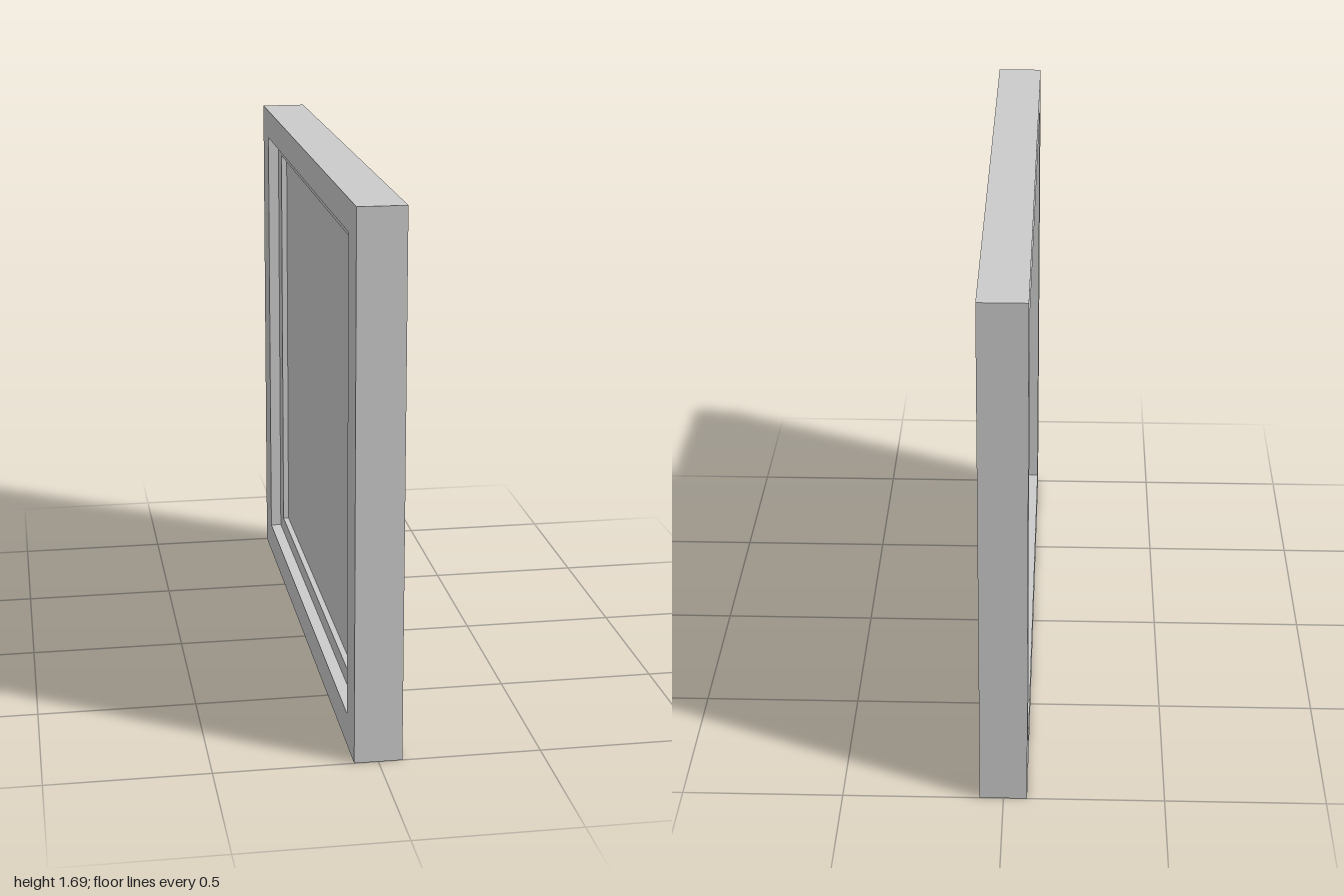
import * as THREE from 'three';

const material = new THREE.MeshStandardMaterial({ color: 0xcccccc, flatShading: true });

// Rectangles are [zMin, zMax, yMin, yMax]
const OUTER = [-1, 1, 0, 1.69];
const OPENING = [-0.867, 0.867, 0.102, 1.592];
const GLAZING = [-0.788, 0.802, 0.155, 1.538];

function trace(path, [z0, z1, y0, y1]) {
  // shape x runs along -z once the extrusion is turned to face +x
  path.moveTo(-z1, y0);
  path.lineTo(-z0, y0);
  path.lineTo(-z0, y1);
  path.lineTo(-z1, y1);
  path.closePath();
  return path;
}

// Flat slab in the YZ plane from xMin to xMax, with an optional rectangular hole
function slab(name, rect, xMin, xMax, hole) {
  const shape = trace(new THREE.Shape(), rect);
  if (hole) shape.holes.push(trace(new THREE.Path(), hole));
  const geometry = new THREE.ExtrudeGeometry(shape, { depth: xMax - xMin, bevelEnabled: false });
  geometry.rotateY(Math.PI / 2).translate(xMin, 0, 0);
  const mesh = new THREE.Mesh(geometry, material);
  mesh.name = name;
  return mesh;
}

export function createModel() {
  const group = new THREE.Group();
  group.name = 'framedPanel';
  group.add(
    slab('outerFrame', OUTER, -0.0735, 0.0735, OPENING),
    slab('innerSash', OPENING, -0.037, 0.034, GLAZING),
    slab('pane', GLAZING, -0.018, 0.016)
  );
  return group;
}
